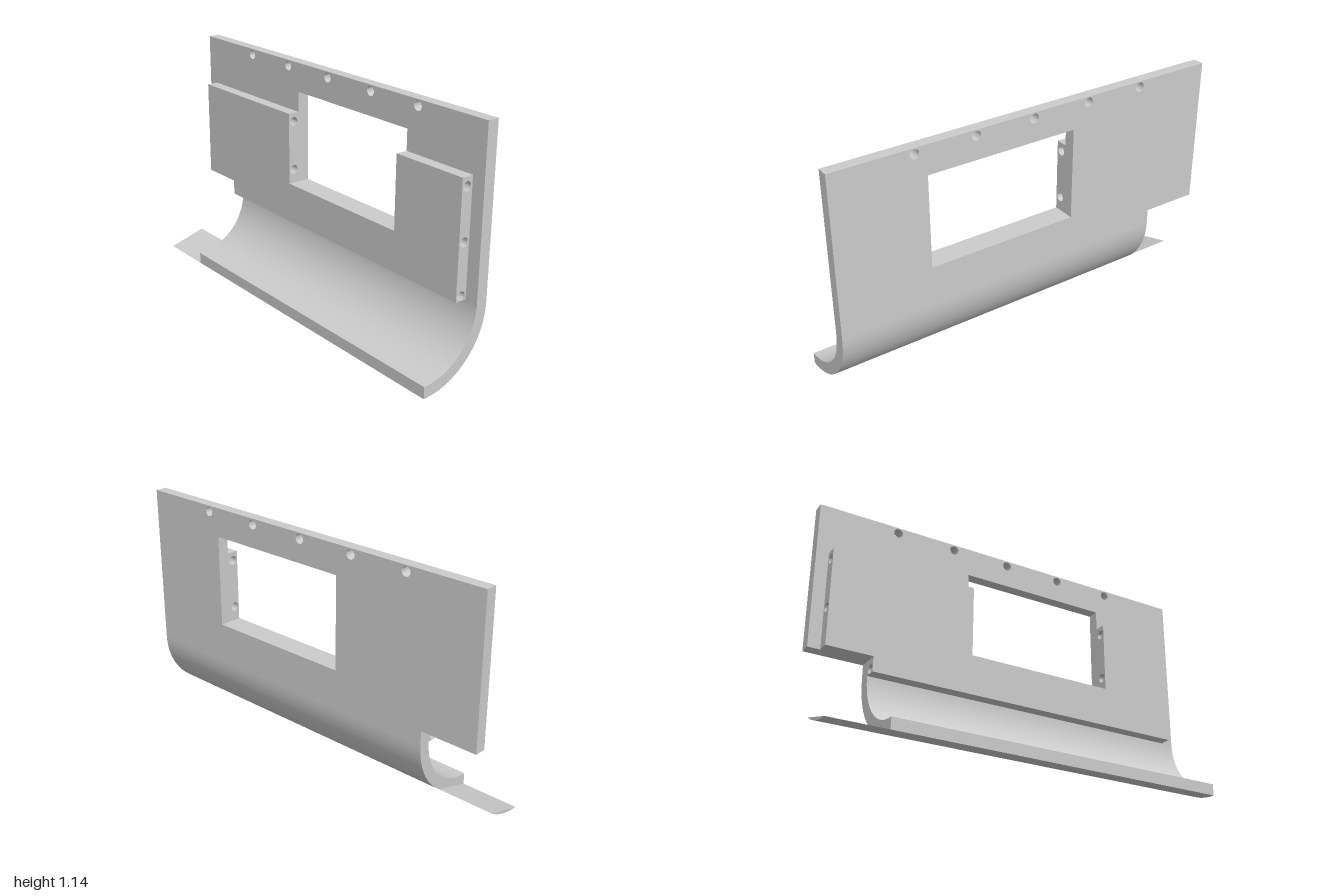
import * as THREE from 'three';
import { toCreasedNormals } from 'three/addons/utils/BufferGeometryUtils.js';

const X_IN = 0.115, X_OUT = 0.172, X_PAD = 0.057;
const BEND_Y = 0.346, TOP = 1.146;
const NOTCH_Z = -0.715, NOTCH_TOP = 0.42, NOTCH_BOTTOM = 0.059;
const WIN = { z0: -0.22, z1: 0.545, y0: 0.545, y1: 1.003 };

const polygon = (pts) => new THREE.Shape(pts.map(([x, y]) => new THREE.Vector2(x, y)));

function addHole(shape, x, y, r) {
  const hole = new THREE.Path();
  hole.absarc(x, y, r, 0, Math.PI * 2, true);
  shape.holes.push(hole);
}

const extrude = (shape, depth) =>
  new THREE.ExtrudeGeometry(shape, { depth, bevelEnabled: false, curveSegments: 32 });

export function createModel() {
  const group = new THREE.Group();
  const material = new THREE.MeshStandardMaterial({ color: 0xcccccc });

  const add = (name, geometry) => {
    const mesh = new THREE.Mesh(toCreasedNormals(geometry, 0.5), material);
    mesh.name = name;
    group.add(mesh);
  };
  // Extrude an xy section between two z positions
  const addAlongZ = (name, shape, z0, z1) =>
    add(name, extrude(shape, z1 - z0).translate(0, 0, z0));

  // Upright plate, drawn with u = -z, with the window, notch and top row of holes
  const plate = polygon([
    [-1, BEND_Y], [-NOTCH_Z, BEND_Y], [-NOTCH_Z, NOTCH_TOP],
    [1, NOTCH_TOP], [1, TOP], [-1, TOP],
  ]);
  plate.holes.push(polygon([
    [-WIN.z1, WIN.y0], [-WIN.z1, WIN.y1], [-WIN.z0, WIN.y1], [-WIN.z0, WIN.y0],
  ]));
  for (let i = -2; i <= 2; i++) addHole(plate, i * 0.302, 1.117, 0.023);
  add('uprightPlate', extrude(plate, X_OUT - X_IN).rotateY(Math.PI / 2).translate(X_IN, 0, 0));

  // Quarter-round lower bend
  const cx = -X_OUT, rOut = X_OUT - cx, rIn = X_IN - cx;
  const bend = new THREE.Shape();
  bend.moveTo(cx, 0);
  bend.absarc(cx, BEND_Y, rOut, -Math.PI / 2, 0, false);
  bend.absarc(cx, BEND_Y, rIn, 0, -Math.PI / 2, true);
  bend.closePath();
  addAlongZ('curvedFlange', bend, NOTCH_Z, 1);

  // Flat-topped strip left under the notch
  const strip = new THREE.Shape();
  strip.moveTo(cx, NOTCH_BOTTOM);
  strip.absarc(cx, BEND_Y, rOut, -Math.PI / 2, -Math.asin((BEND_Y - NOTCH_BOTTOM) / rOut), false);
  strip.closePath();
  addAlongZ('notchStrip', strip, -1, NOTCH_Z);

  // Inner mounting pad in sections, bored lengthwise
  const padTop = 0.903, padBottom = 0.347;
  const sections = [
    ['padBackEnd', -0.94, NOTCH_Z, NOTCH_TOP, padTop],
    ['padBack', NOTCH_Z, WIN.z0, padBottom, padTop],
    ['padBelowWindow', WIN.z0, WIN.z1, padBottom, WIN.y0],
    ['padFront', WIN.z1, 0.935, padBottom, padTop],
  ];
  for (const [name, z0, z1, y0, y1] of sections) {
    const pad = polygon([[X_PAD, y0], [X_IN, y0], [X_IN, y1], [X_PAD, y1]]);
    for (const y of [0.37, 0.615, 0.86]) {
      if (y > y0 && y < y1) addHole(pad, 0.085, y, 0.022);
    }
    addAlongZ(name, pad, z0, z1);
  }

  return group;
}
